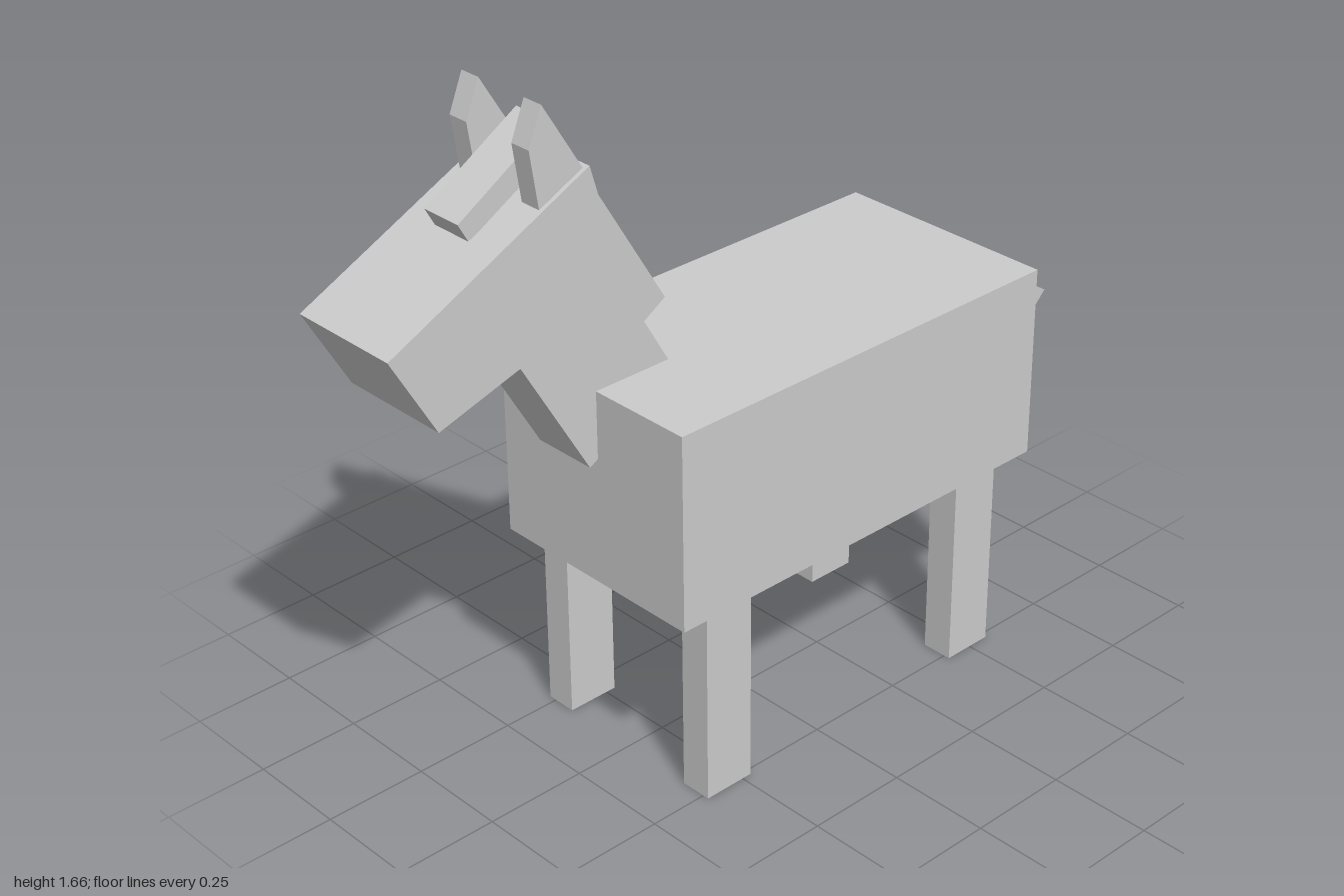
import * as THREE from 'three';

const material = new THREE.MeshStandardMaterial({ color: 0xcccccc, flatShading: true });

// Side profile of [z, y] points, extruded across x from x0 to x1
function slab(name, x0, x1, profile) {
  const shape = new THREE.Shape(profile.map(([z, y]) => new THREE.Vector2(-z, y)));
  const geometry = new THREE.ExtrudeGeometry(shape, { depth: x1 - x0, bevelEnabled: false });
  geometry.rotateY(Math.PI / 2).translate(x0, 0, 0);
  const mesh = new THREE.Mesh(geometry, material);
  mesh.name = name;
  return mesh;
}

// Upright box given by its limits on each axis
function block(name, [x0, x1], [y0, y1], [z0, z1]) {
  const mesh = new THREE.Mesh(new THREE.BoxGeometry(x1 - x0, y1 - y0, z1 - z0), material);
  mesh.position.set((x0 + x1) / 2, (y0 + y1) / 2, (z0 + z1) / 2);
  mesh.name = name;
  return mesh;
}

export function createModel() {
  const model = new THREE.Group();
  model.name = 'horse';

  model.add(block('body', [-0.285, 0.285], [0.487, 0.96], [-0.65, 0.438]));

  // Four legs
  for (const [side, x] of [['Left', [0.187, 0.265]], ['Right', [-0.27, -0.193]]]) {
    model.add(block(`front${side}Leg`, x, [0, 0.5], [0.225, 0.355]));
    model.add(block(`back${side}Leg`, x, [0, 0.5], [-0.557, -0.428]));
  }

  // Neck leaning forward into the head
  model.add(slab('neck', -0.14, 0.022, [[0.46, 0.785], [0.215, 0.925], [0.475, 1.375], [0.72, 1.235]]));

  // Wedge-shaped head
  model.add(slab('head', -0.2, 0.08, [[1, 1.26], [0.89, 1.065], [0.4, 1.213], [0.487, 1.507]]));

  // Mane down the neck, bent over the brow into a forelock
  model.add(slab('mane', -0.112, -0.008, [
    [0.75, 1.435], [0.51, 1.582], [0.215, 1.09], [0.28, 1.05], [0.51, 1.44], [0.55, 1.49], [0.725, 1.39],
  ]));

  // Pointed ears
  const ear = [[0.595, 1.665], [0.63, 1.58], [0.61, 1.447], [0.495, 1.5]];
  model.add(slab('leftEar', 0.018, 0.07, ear));
  model.add(slab('rightEar', -0.172, -0.12, ear));

  // Flaring tail
  model.add(slab('tail', -0.053, 0.022, [[-0.6, 0.94], [-1, 0.69], [-0.865, 0.555], [-0.5, 0.91]]));

  return model;
}
